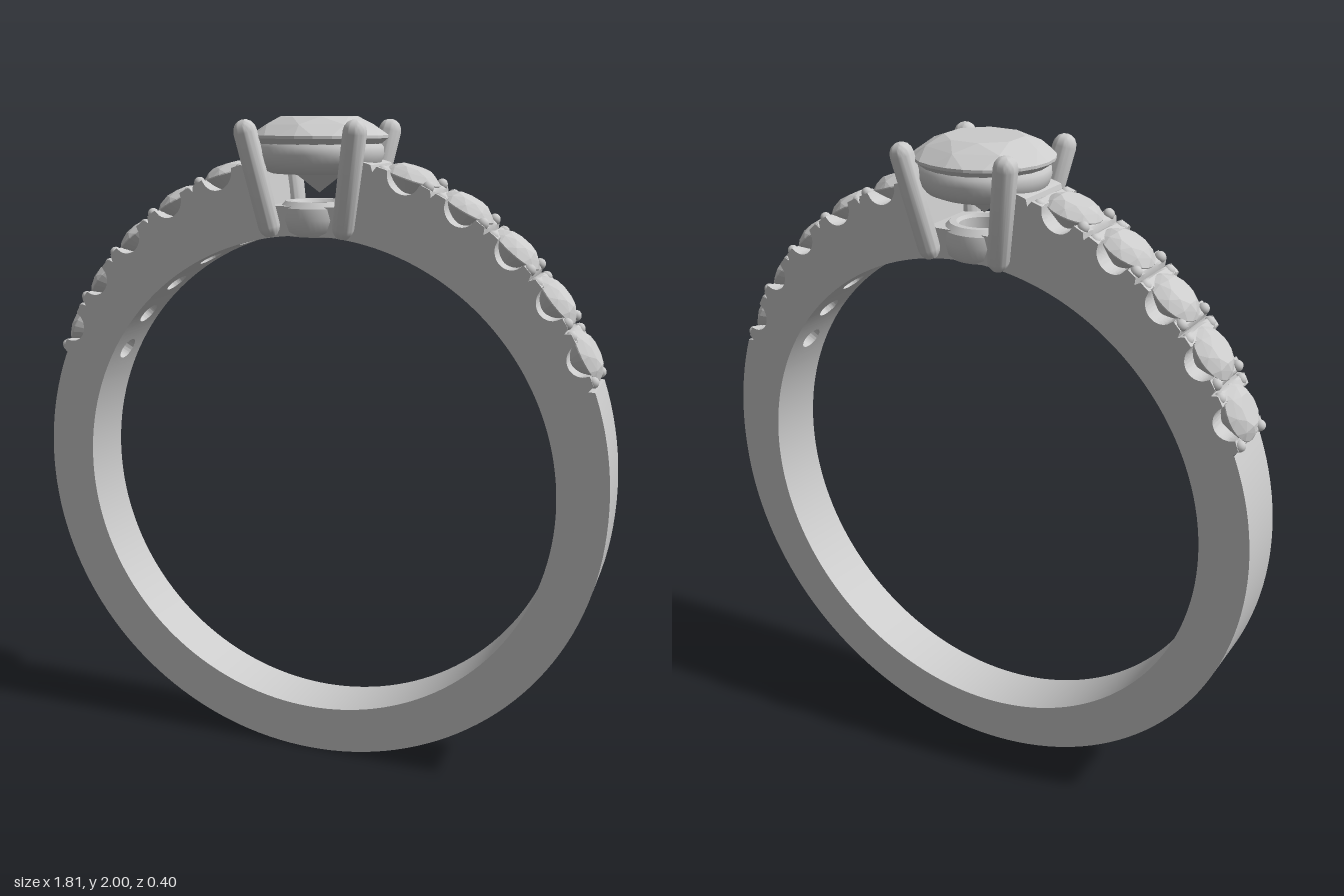
import * as THREE from 'three';
import { toCreasedNormals } from 'three/addons/utils/BufferGeometryUtils.js';
import { ConvexGeometry } from 'three/addons/geometries/ConvexGeometry.js';

const DEG = Math.PI / 180;
const CY = 0.908;                       // height of the ring centre
const RI = 0.757;                       // finger hole radius
const STONES = [17.2, 28.2, 39.2, 50.2, 61.2].map(d => d * DEG); // angles from the top
const HALF = 5.5 * DEG, GAP = 8.6 * DEG, SHOULDER = 11.7 * DEG, LAST = 66.7 * DEG;

const metal = new THREE.MeshStandardMaterial({ color: 0xcccccc });
const gem = new THREE.MeshStandardMaterial({ color: 0xcccccc, flatShading: true });

function add(parent, name, geometry, material = metal) {
  const mesh = new THREE.Mesh(geometry, material);
  mesh.name = name;
  parent.add(mesh);
  return mesh;
}

// Outer radius of the plain shank, growing toward the top
const baseRadius = a => 0.905 + 0.09 * Math.pow(Math.max(0, 1 - Math.abs(a) / (95 * DEG)), 1.5);

// Outer radius with the head gap, the scalloped notches and the slits between stones
function outerRadius(angle) {
  const a = Math.abs(angle), r = baseRadius(a);
  if (a < GAP + 1e-5) return 0.84 / Math.cos(a);
  for (const s of STONES) {
    const l = Math.abs(a - s) * 0.955;
    if (l < 0.05) return r - 0.95 * Math.sqrt(0.0025 - l * l);
    const toSlit = Math.abs(l - HALF * 0.955);
    if (toSlit < 0.009) return r - 0.018 * (1 - toSlit / 0.009);
  }
  return r;
}

// Shank point from angle, radius and z in -1..1; the shank narrows downward
function point(a, r, z) {
  const y = CY + r * Math.cos(a);
  return [r * Math.sin(a), y, z * (0.085 + 0.0085 * y)];
}

function shankGeometry() {
  const pos = [];
  const quad = (a, b, c, d) => pos.push(...a, ...b, ...c, ...a, ...c, ...d);
  const inner = (a, z) => point(a, RI, z);
  const outer = (a, z) => point(a, outerRadius(a), z);

  function segment(a0, a1, n, hole) {
    const at = i => a0 + (a1 - a0) * i / n;
    for (let i = 0; i < n; i++) {
      const p = at(i), q = at(i + 1);
      quad(inner(p, 1), inner(q, 1), outer(q, 1), outer(p, 1));
      quad(inner(p, -1), outer(p, -1), outer(q, -1), inner(q, -1));
      if (!hole) {
        quad(outer(p, -1), outer(p, 1), outer(q, 1), outer(q, -1));
        quad(inner(p, -1), inner(q, -1), inner(q, 1), inner(p, 1));
      }
    }
    if (!hole) return;
    // Rectangular patch blended into a round hole
    const edge = [], m = 10, rings = 8, mid = (a0 + a1) / 2;
    for (let i = 0; i < m; i++) edge.push([a0, -1 + 2 * i / m]);
    for (let i = 0; i < n; i++) edge.push([at(i), 1]);
    for (let i = 0; i < m; i++) edge.push([a1, 1 - 2 * i / m]);
    for (let i = 0; i < n; i++) edge.push([at(n - i), -1]);
    const grid = (k, j) => {
      const [a, z] = edge[j % edge.length], t = k / rings;
      const phi = Math.atan2(z * 0.1, (a - mid) * 0.85);
      const ha = mid + hole * Math.cos(phi) / 0.85, hz = hole * Math.sin(phi) / 0.1;
      return [ha + (a - ha) * t, hz + (z - hz) * t];
    };
    for (let j = 0; j < edge.length; j++) {
      for (let k = 0; k < rings; k++) {
        const c = [grid(k, j), grid(k + 1, j), grid(k + 1, j + 1), grid(k, j + 1)];
        quad(...c.map(v => outer(...v)));
        quad(...c.map(v => inner(...v)).reverse());
      }
      const p = grid(0, j), q = grid(0, j + 1);
      quad(inner(...p), outer(...p), outer(...q), inner(...q));
    }
  }

  segment(-GAP, GAP, 16, 0.08);
  for (const s of [-1, 1]) {
    const span = (a, b, n, h) => (s > 0 ? segment(a, b, n, h) : segment(-b, -a, n, h));
    span(GAP, GAP + 0.0005, 1);
    span(GAP + 0.0005, SHOULDER, 6);
    for (const a of STONES) span(a - HALF, a + HALF, 40, 0.04);
  }
  segment(LAST, LAST + 0.01, 4);
  segment(LAST + 0.01, 2 * Math.PI - LAST - 0.01, 96);
  segment(2 * Math.PI - LAST - 0.01, 2 * Math.PI - LAST, 4);
  const g = new THREE.BufferGeometry();
  g.setAttribute('position', new THREE.Float32BufferAttribute(pos, 3));
  return toCreasedNormals(g, 0.5);
}

// Round brilliant cut with its girdle at y = 0
function brilliant(r, crown, pavilion) {
  const pts = [new THREE.Vector3(0, -pavilion, 0)];
  const ring = (n, radius, y, turn) => {
    for (let i = 0; i < n; i++) {
      const t = (i + turn) / n * Math.PI * 2;
      pts.push(new THREE.Vector3(radius * Math.cos(t), y, radius * Math.sin(t)));
    }
  };
  ring(8, r * 0.56, crown, 0.5);
  ring(8, r * 0.82, crown * 0.58, 0);
  ring(24, r, 0, 0);
  ring(24, r, -0.04 * r, 0);
  return new ConvexGeometry(pts);
}

function lathe(points) {
  const pts = points.map(p => new THREE.Vector2(...p));
  return toCreasedNormals(new THREE.LatheGeometry(pts, 48), 0.6);
}

export function createModel() {
  const ring = new THREE.Group();
  ring.name = 'ring';
  add(ring, 'shank', shankGeometry());

  // Side stones with their four holding beads
  const smallStone = brilliant(0.083, 0.028, 0.075);
  const bead = new THREE.SphereGeometry(0.017, 12, 8);
  for (const s of [-1, 1]) {
    STONES.forEach((a, i) => {
      const setting = new THREE.Group();
      setting.name = `${s > 0 ? 'left' : 'right'}SideStone${i + 1}`;
      setting.position.set(...point(s * a, baseRadius(a) - 0.004, 0));
      setting.rotation.z = -s * a;
      add(setting, 'stone', smallStone, gem);
      for (const x of [-1, 1]) for (const z of [-1, 1]) {
        add(setting, 'bead', bead).position.set(x * 0.07, -0.003, z * 0.077);
      }
      ring.add(setting);
    });
  }

  // Head: centre stone, seat ring, collar and four prongs
  const head = new THREE.Group();
  head.name = 'head';
  ring.add(head);
  add(head, 'centreStone', brilliant(0.202, 0.052, 0.165), gem).position.y = 1.948;
  add(head, 'seatRing', lathe([
    [0.115, 1.845], [0.14, 1.84], [0.165, 1.85], [0.182, 1.87], [0.19, 1.895],
    [0.188, 1.915], [0.178, 1.928], [0.165, 1.925], [0.115, 1.845]]));
  add(head, 'collar', lathe([
    [0.073, 1.66], [0.1, 1.66], [0.115, 1.675], [0.122, 1.71], [0.117, 1.742],
    [0.1, 1.76], [0.08, 1.76], [0.073, 1.75], [0.073, 1.66]]));

  const up = new THREE.Vector3(0, 1, 0);
  for (const x of [-1, 1]) for (const z of [-1, 1]) {
    const foot = new THREE.Vector3(x * 0.114, 1.69, z * 0.114);
    const tip = new THREE.Vector3(x * 0.164, 1.958, z * 0.164);
    const dir = tip.clone().sub(foot), len = dir.length();
    const prong = new THREE.Group();
    prong.name = 'prong';
    prong.position.copy(foot);
    prong.quaternion.setFromUnitVectors(up, dir.normalize());
    add(prong, 'prongShape', lathe([
      [0, -0.031], [0.018, -0.027], [0.028, -0.014], [0.032, 0], [0.034, len],
      [0.031, len + 0.014], [0.024, len + 0.025], [0.013, len + 0.032], [0, len + 0.035]]));
    head.add(prong);
  }
  return ring;
}
